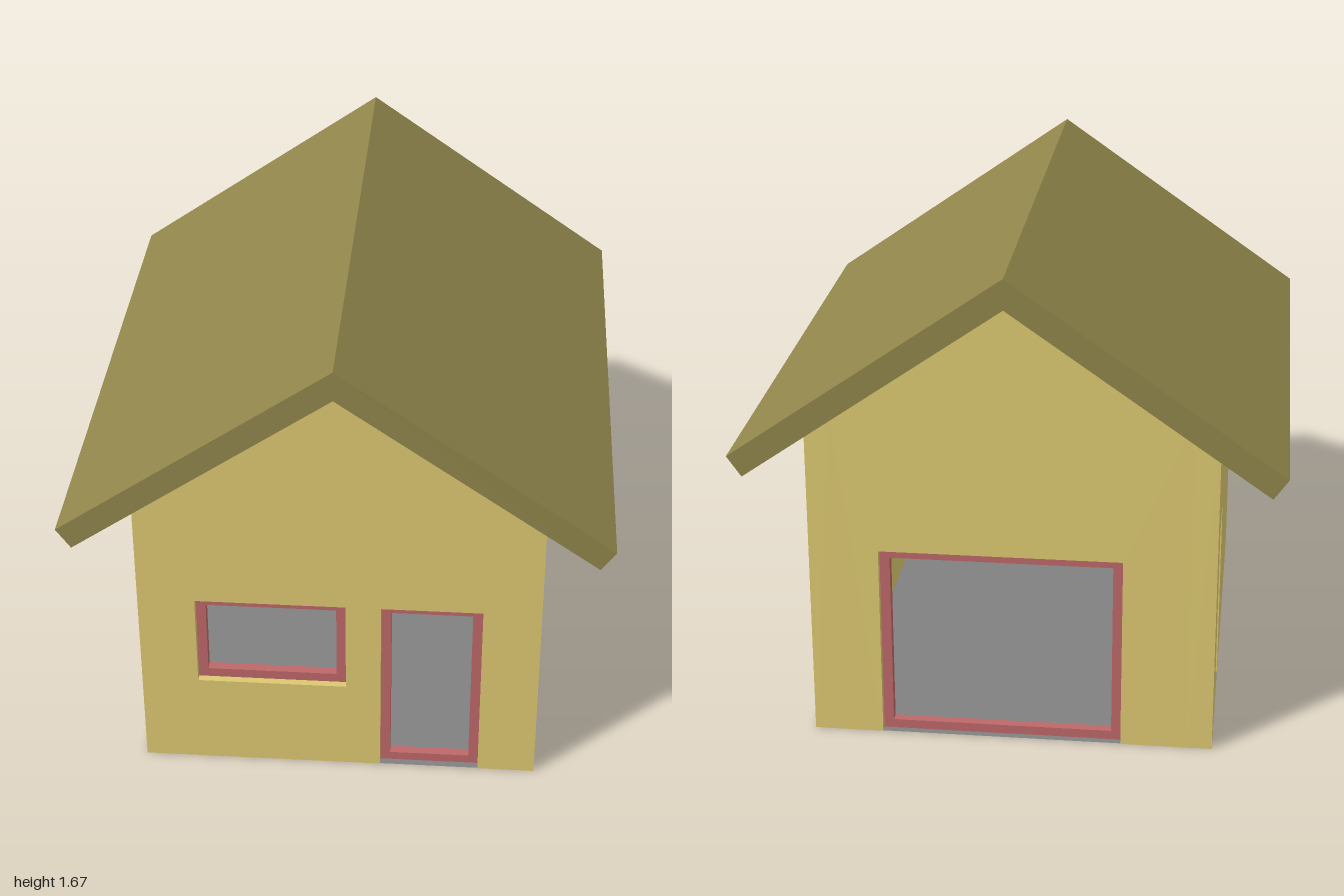
import * as THREE from 'three';

const W = 0.667, D = 0.833, T = 0.083;      // half width, half depth, wall thickness
const FRAME = 0.033;                        // frame bar size
const APEX = 1.567, SLOPE = 0.698;          // underside of the roof

const mat = (color) => new THREE.MeshStandardMaterial({ color, flatShading: true });
const wallMat = mat(0xdcc871), roofMat = mat(0x90854b), frameMat = mat(0xbd6868), floorMat = mat(0x808080);
floorMat.side = THREE.DoubleSide;

const toShape = (pts) => new THREE.Shape(pts.map(([x, y]) => new THREE.Vector2(x, y)));
const rect = (x0, x1, y0, y1) => [[x0, y0], [x1, y0], [x1, y1], [x0, y1]];

function extrude(name, shape, depth, z, material) {
  const geo = new THREE.ExtrudeGeometry(shape, { depth, bevelEnabled: false });
  geo.translate(0, 0, z);
  const mesh = new THREE.Mesh(geo, material);
  mesh.name = name;
  return mesh;
}

// Wall facing local +z at distance dist; openings are [x0, x1, y0, y1], left to right.
// Openings that reach the ground become notches in the outline, the rest are holes.
function wall(name, half, topPoints, dist, angle, openings) {
  const group = new THREE.Group();
  group.name = name;
  const outline = [[-half, 0]];
  for (const [x0, x1, y0, y1] of openings) {
    if (y0 === 0) outline.push([x0, 0], [x0, y1], [x1, y1], [x1, 0]);
  }
  outline.push([half, 0], ...topPoints);
  const shape = toShape(outline);
  for (const o of openings) if (o[2] > 0) shape.holes.push(toShape(rect(...o)));
  group.add(extrude(name + 'Panel', shape, T, dist - T, wallMat));

  // Frame set in the middle of the wall thickness
  for (const [x0, x1, y0, y1] of openings) {
    const ring = toShape(rect(x0, x1, y0, y1));
    ring.holes.push(toShape(rect(x0 + FRAME, x1 - FRAME, y0 + FRAME, y1 - FRAME)));
    const part = y0 > 0 ? 'windowFrame' : 'doorFrame';
    group.add(extrude(part, ring, FRAME, dist - (T + FRAME) / 2, frameMat));
  }
  group.rotation.y = angle;
  return group;
}

export function createModel() {
  const house = new THREE.Group();
  house.name = 'house';

  // Gable walls fit between the side walls
  const inner = W - T, shoulder = APEX - SLOPE * inner;
  const gableTop = [[inner, shoulder], [0, APEX], [-inner, shoulder]];
  house.add(wall('frontWall', inner, gableTop, D, 0,
    [[-0.477, 0.023, 0.333, 0.667], [0.14, 0.475, 0, 0.667]]));
  house.add(wall('backWall', inner, gableTop, D, Math.PI, [[-0.437, 0.363, 0, 0.667]]));

  // Side walls end inside the roof slab
  const sideTop = [[D, shoulder + 0.005], [-D, shoulder + 0.005]];
  house.add(wall('rightWall', D, sideTop, W, Math.PI / 2, [[0.483, 0.75, 0, 0.667]]));
  house.add(wall('leftWall', D, sideTop, W, -Math.PI / 2, [[-0.565, -0.298, 0, 0.667]]));

  // Pitched roof with square-cut eaves
  const roof = toShape([[0, 1.667], [-0.88, 1.052], [-0.833, 0.985], [0, APEX], [0.833, 0.985], [0.88, 1.052]]);
  house.add(extrude('roof', roof, 2, -1, roofMat));

  // Floor just above the wall bases
  const floor = new THREE.Mesh(new THREE.PlaneGeometry(2 * W, 2 * D), floorMat);
  floor.name = 'floor';
  floor.rotation.x = -Math.PI / 2;
  floor.position.y = 0.002;
  house.add(floor);

  return house;
}
